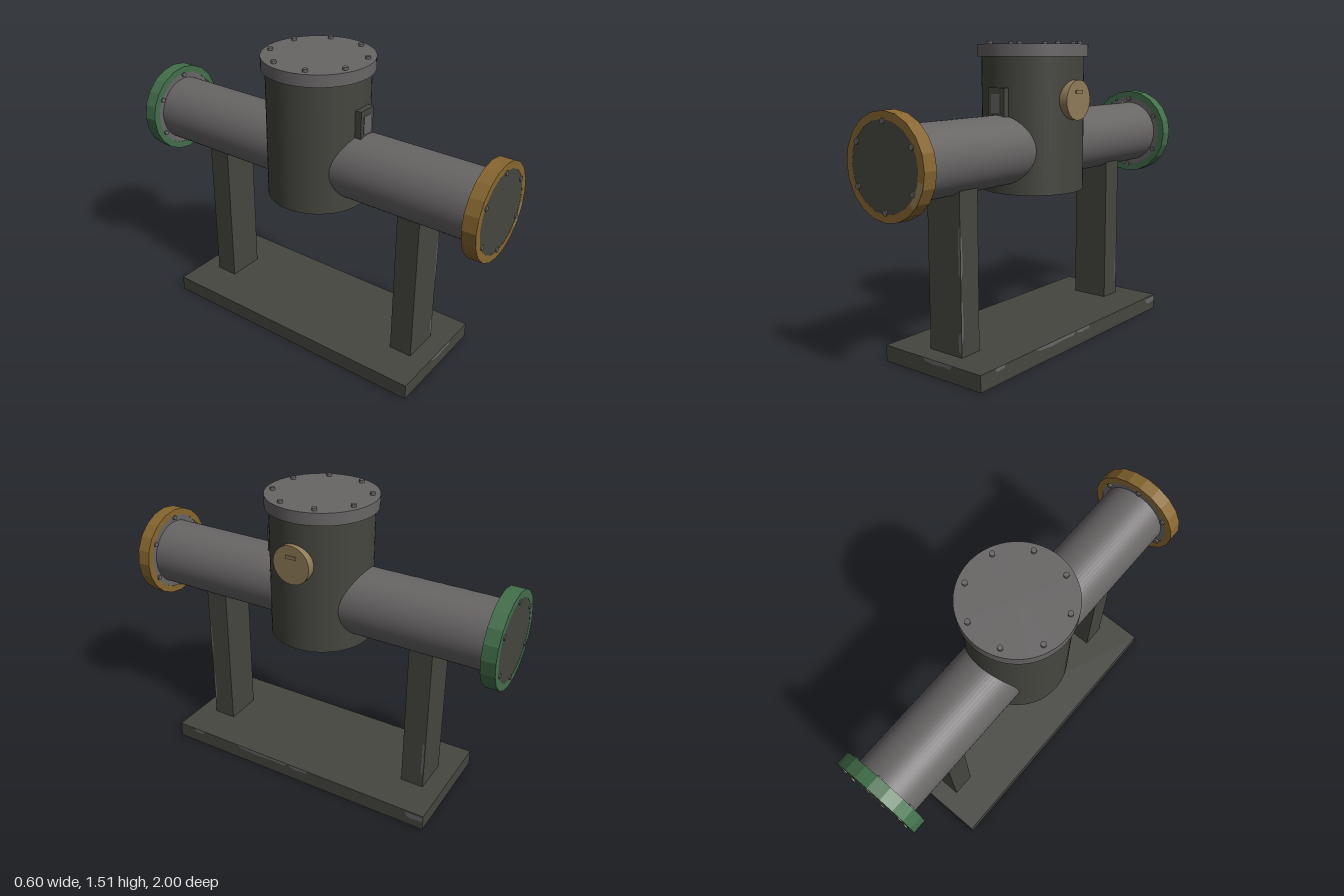
import * as THREE from 'three';

const material = (name, color) => Object.assign(new THREE.MeshStandardMaterial({ color }), { name });

export function createModel() {
  const model = new THREE.Group();
  model.name = 'pipeVessel';
  const dark = material('dark olive paint', 0x45463f);
  const grey = material('bare steel', 0x686565);
  const gold = material('ochre flange', 0x87662f);
  const green = material('green flange', 0x426f4a);
  const tan = material('tan brass', 0x8f7c57);

  const add = (parent, name, geometry, mat, x = 0, y = 0, z = 0) => {
    const mesh = new THREE.Mesh(geometry, mat);
    mesh.name = name;
    mesh.position.set(x, y, z);
    parent.add(mesh);
    return mesh;
  };
  const box = (w, h, d) => new THREE.BoxGeometry(w, h, d);
  const drumY = (r, h, n = 64) => new THREE.CylinderGeometry(r, r, h, n);
  const drumZ = (r, h, n = 64) => drumY(r, h, n).rotateX(Math.PI / 2);
  const AXIS = 0.99; // height of the horizontal pipe

  // Stand: base plate and two posts
  add(model, 'basePlate', box(0.6, 0.08, 1.5), dark, 0, 0.04, 0);
  for (const s of [1, -1]) add(model, 'post', box(0.2, 0.78, 0.12), dark, 0, 0.47, s * 0.593);

  // Horizontal pipe and upright vessel
  add(model, 'pipe', drumZ(0.17, 1.88), grey, 0, AXIS, 0);
  add(model, 'vessel', drumY(0.255, 0.66), dark, 0, 1.105, 0);

  // Lid with eight bolts
  add(model, 'lid', drumY(0.275, 0.06), grey, 0, 1.465, 0);
  for (let i = 0; i < 8; i++) {
    const a = (i + 0.5) * Math.PI / 4;
    add(model, 'lidBolt', drumY(0.013, 0.018, 12), grey, 0.237 * Math.cos(a), 1.499, 0.237 * Math.sin(a));
  }

  // End flange: coloured rim, steel disc, dark blind plate, six through bolts
  const makeFlange = (name, mat) => {
    const flange = new THREE.Group();
    flange.name = name;
    const polygon = (r) => Array.from({ length: 20 }, (_, i) =>
      new THREE.Vector2(r * Math.cos(i * Math.PI / 10), r * Math.sin(i * Math.PI / 10)));
    const ring = new THREE.Shape(polygon(0.236));
    ring.holes.push(new THREE.Path(polygon(0.2)));
    add(flange, 'rim', new THREE.ExtrudeGeometry(ring, { depth: 0.07, bevelEnabled: false }), mat, 0, 0, 0.925);
    add(flange, 'disc', drumZ(0.202, 0.058, 40), grey, 0, 0, 0.957);
    add(flange, 'blindPlate', drumZ(0.201, 0.008, 40), dark, 0, 0, 0.99);
    for (let i = 0; i < 6; i++) {
      const a = Math.PI / 2 + i * Math.PI / 3;
      add(flange, 'flangeBolt', drumZ(0.013, 0.082, 12), grey, 0.192 * Math.cos(a), 0.192 * Math.sin(a), 0.959);
    }
    flange.position.y = AXIS;
    model.add(flange);
    return flange;
  };
  const front = makeFlange('frontFlange', gold);
  makeFlange('backFlange', green).rotation.y = Math.PI;
  // Worn patch on the front rim
  add(front, 'rimWear', new THREE.RingGeometry(0.203, 0.231, 10, 1, -0.75, 0.55), tan, 0, 0, 0.9965);

  // Round side port with a small grip
  add(model, 'sidePort', drumY(0.097, 0.05, 40).rotateZ(Math.PI / 2), tan, 0.255, 1.228, 0);
  add(model, 'portGrip', box(0.006, 0.016, 0.055), tan, 0.282, 1.268, 0);

  // Control box on the vessel front
  add(model, 'controlBox', box(0.1, 0.14, 0.045), dark, 0, 1.22, 0.262);
  add(model, 'controlPanel', box(0.056, 0.09, 0.004), grey, 0, 1.215, 0.285);

  // Worn paint: thin ragged plates on base and post edges
  const chip = (w, h) => {
    const s = new THREE.Shape();
    s.moveTo(-w / 2, h / 2);
    s.lineTo(-w * 0.38, -h * 0.2);
    s.lineTo(-w * 0.1, -h * 0.5);
    s.lineTo(w * 0.2, -h * 0.25);
    s.lineTo(w * 0.42, -h * 0.4);
    s.lineTo(w / 2, h / 2);
    return new THREE.ShapeGeometry(s);
  };
  add(model, 'baseWear', chip(0.19, 0.022), grey, 0.035, 0.069, 0.751);
  add(model, 'postWear', chip(0.25, 0.014).rotateZ(-Math.PI / 2), grey, 0.093, 0.58, 0.654);
  add(model, 'postWear', chip(0.1, 0.02).rotateZ(-Math.PI / 2), grey, 0.09, 0.15, 0.654);
  for (const [z, y, w, h] of [[0.2, 0.07, 0.34, 0.02], [-0.03, 0.07, 0.12, 0.02], [0.62, 0.07, 0.07, 0.02], [-0.7, 0.055, 0.1, 0.03]])
    add(model, 'baseWear', chip(w, h).rotateY(Math.PI / 2), grey, 0.301, y, z);
  for (const [z, y] of [[0.645, 0.25], [0.645, 0.55], [-0.644, 0.25]])
    add(model, 'postWear', chip(0.2, 0.012).rotateZ(Math.PI / 2).rotateY(Math.PI / 2), grey, 0.101, y, z);

  return model;
}
